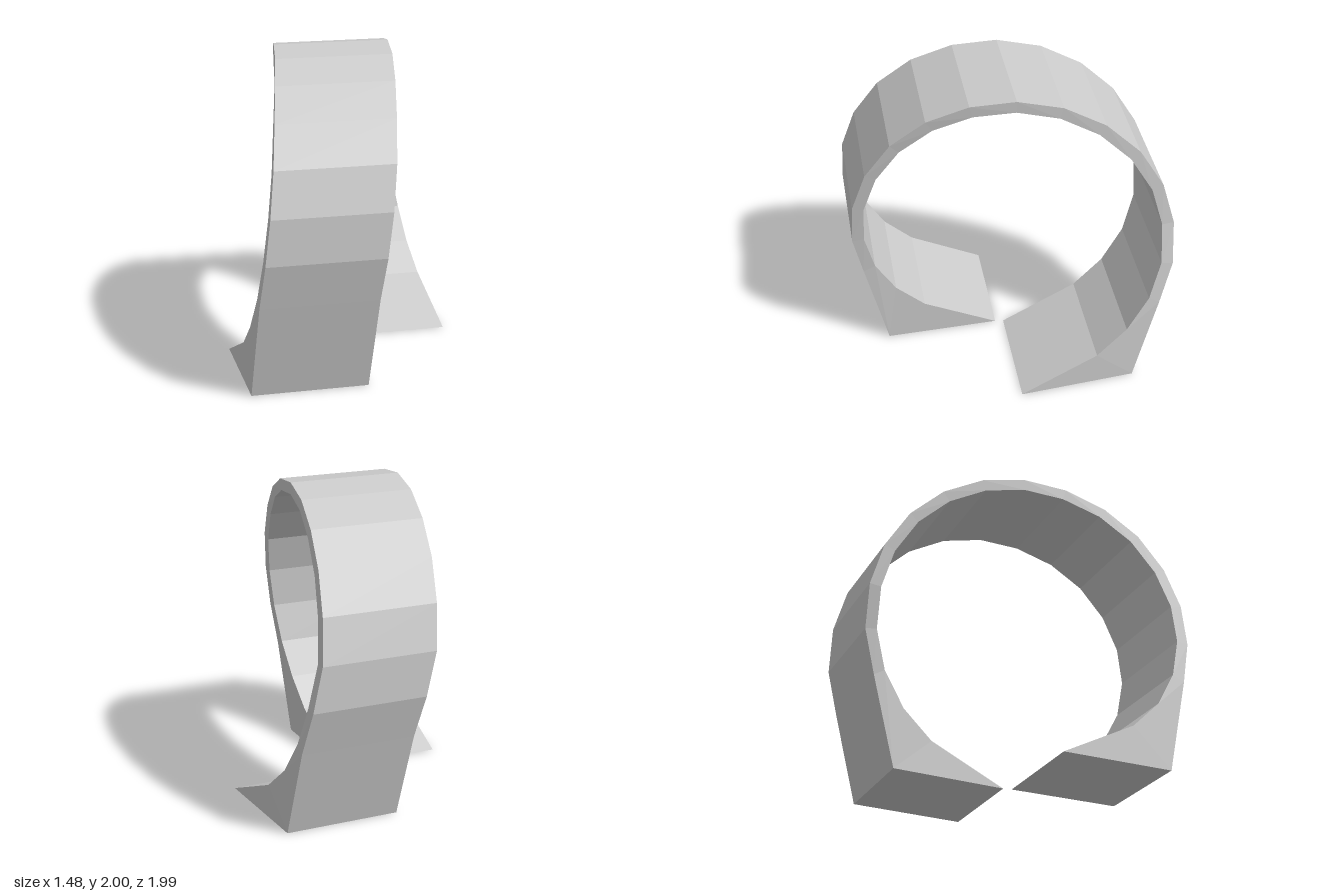
import * as THREE from 'three';

const WIDTH = 0.735;
const R_OUT = 1, R_IN = 0.925;
const START = -5.7, STEP = 16.2; // degrees

// Left edge of the band at each station, drifting sideways like a helix
const DRIFT = [-0.74, -0.715, -0.70, -0.675, -0.645, -0.61, -0.572, -0.535, -0.49, -0.443,
  -0.403, -0.36, -0.315, -0.275, -0.238, -0.205, -0.145, -0.105, -0.075, -0.045, 0];
const LAST = DRIFT.length - 1;

// Points as [x, y, z]
const FRONT_TIP = [DRIFT[0], 0, 0.055], BACK_TIP = [DRIFT[LAST], 0, 0];
const FRONT_FOOT = [-0.71, 0, 0.79], BACK_FOOT = [-0.07, 0, -0.75];

function onCircle(i, r) {
  const a = THREE.MathUtils.degToRad(START + STEP * (i - 4));
  return [DRIFT[i], 1 + r * Math.sin(a), r * Math.cos(a)];
}

function innerPoint(i) {
  if (i === 0) return FRONT_TIP;
  if (i === LAST) return BACK_TIP;
  return onCircle(i, R_IN);
}

// The outside follows the circle, then runs straight down to each foot
function outerPoint(i) {
  if (i <= 2) return FRONT_FOOT;
  if (i >= LAST - 2) return BACK_FOOT;
  if (i === 3) return [DRIFT[3], 0.62, 0.935];
  if (i === LAST - 3) return [DRIFT[i], 0.57, -0.908];
  return onCircle(i, R_OUT);
}

function section(i) {
  const o = outerPoint(i), n = innerPoint(i);
  const across = ([x, y, z]) => [x + WIDTH, y, z];
  return [o, across(o), across(n), n];
}

export function createModel() {
  const positions = [];
  const tri = (a, b, c) => {
    const [p, q, r] = [a, b, c].map((v) => new THREE.Vector3(...v));
    // Skip the collapsed triangles where stations share a foot corner
    if (q.sub(p).cross(r.sub(p)).length() > 1e-6) positions.push(...a, ...b, ...c);
  };
  const quad = (a, b, c, d) => { tri(a, b, c); tri(a, c, d); };

  // Skin between neighbouring sections
  for (let i = 0; i < LAST; i++) {
    const a = section(i), b = section(i + 1);
    for (let k = 0; k < 4; k++) {
      const m = (k + 1) % 4;
      quad(a[k], a[m], b[m], b[k]);
    }
  }

  // Flat undersides of the two feet
  quad(...section(0).reverse());
  quad(...section(LAST));

  const geometry = new THREE.BufferGeometry();
  geometry.setAttribute('position', new THREE.Float32BufferAttribute(positions, 3));
  geometry.computeVertexNormals();

  const band = new THREE.Mesh(geometry,
    new THREE.MeshStandardMaterial({ color: 0xcccccc, flatShading: true }));
  band.name = 'helicalBand';

  const group = new THREE.Group();
  group.name = 'openRingArch';
  group.add(band);
  return group;
}
